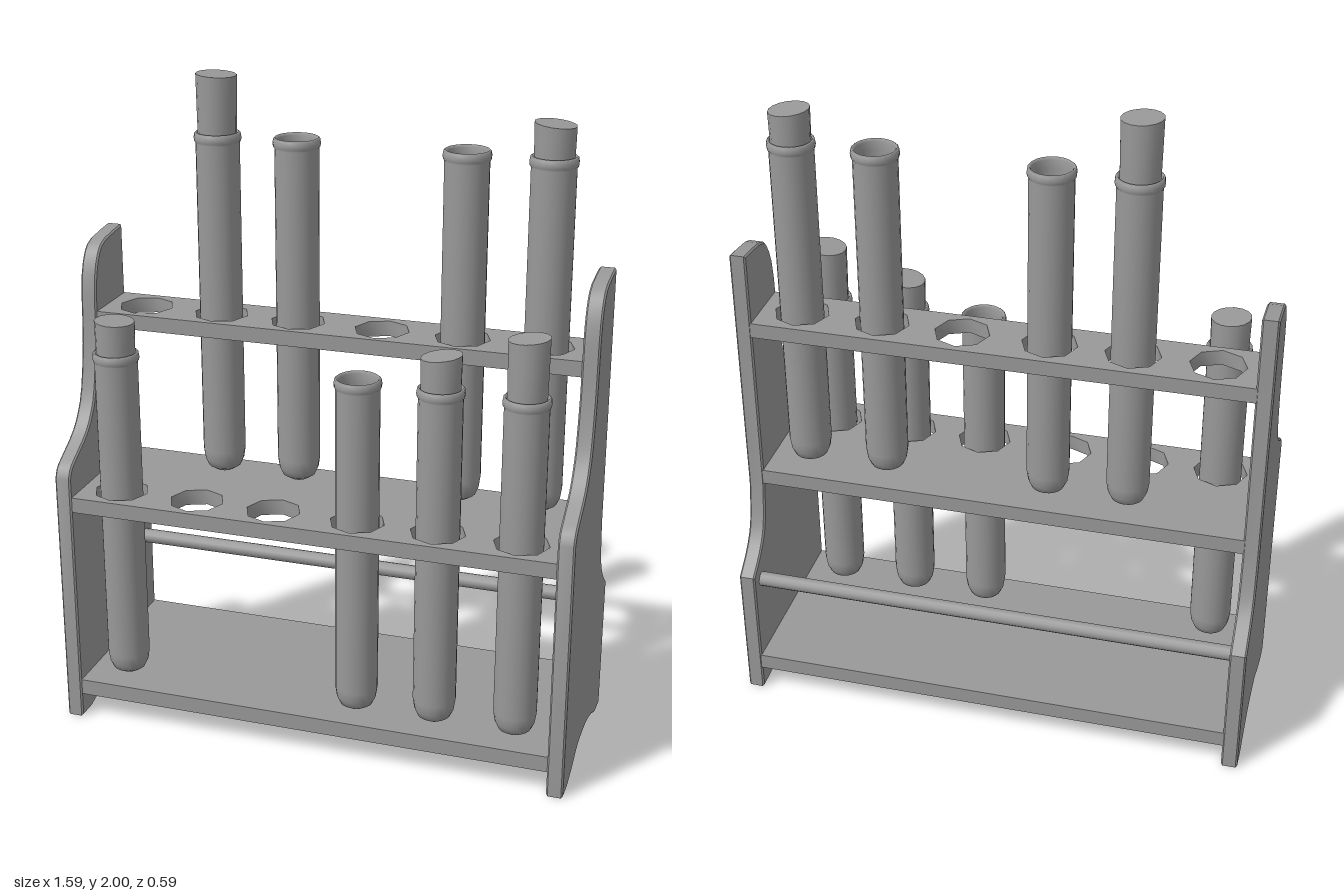
import * as THREE from 'three';
import { toCreasedNormals } from 'three/addons/utils/BufferGeometryUtils.js';

const V = (x, y) => new THREE.Vector2(x, y);
const material = new THREE.MeshStandardMaterial({ color: 0x999999 });
const thinMaterial = new THREE.MeshStandardMaterial({ color: 0x999999, side: THREE.DoubleSide });

const COLUMNS = [-0.624, -0.378, -0.133, 0.129, 0.374, 0.622];
const BACK_Z = -0.05, FRONT_Z = 0.189, HOLE_R = 0.083;

function addMesh(parent, name, geometry, mat = material) {
  const mesh = new THREE.Mesh(geometry, mat);
  mesh.name = name;
  parent.add(mesh);
  return mesh;
}

// Side panel: outline drawn in (z, y), extruded across x and centred
function panelGeometry() {
  const b = 0.005, thickness = 0.05;
  const s = new THREE.Shape();
  s.moveTo(0.29, 0.005);
  s.lineTo(0.29, 0.81);
  s.splineThru([V(0.275, 0.84), V(0.24, 0.863), V(0.164, 0.908), V(0.118, 0.957), V(0.083, 1.03),
    V(0.055, 1.18), V(0.045, 1.35), V(0.017, 1.435), V(-0.03, 1.471), V(-0.151, 1.486)]);
  s.lineTo(-0.151, 0.7);
  s.splineThru([V(-0.172, 0.57), V(-0.216, 0.495), V(-0.29, 0.432)]);
  s.lineTo(-0.29, 0.005);
  s.lineTo(-0.22, 0.008);
  s.splineThru([V(-0.15, 0.038), V(-0.07, 0.058), V(0.005, 0.062), V(0.08, 0.056), V(0.16, 0.025), V(0.23, 0.005)]);
  s.closePath();
  const g = new THREE.ExtrudeGeometry(s, {
    depth: thickness - 2 * b, bevelEnabled: true, bevelSize: b, bevelThickness: b, bevelSegments: 1, curveSegments: 2,
  });
  g.translate(0, 0, b - thickness / 2);
  g.rotateY(-Math.PI / 2);
  return toCreasedNormals(g, 0.5);
}

// Shelf spanning z0..z1, with a row of octagonal holes at holeZ if given
function shelfGeometry(z0, z1, thickness, holeZ) {
  const w = 0.75;
  const s = new THREE.Shape([V(-w, -z1), V(w, -z1), V(w, -z0), V(-w, -z0)]);
  if (holeZ !== undefined) {
    for (const x of COLUMNS) {
      const ring = [];
      for (let i = 0; i < 8; i++) {
        const a = -i * Math.PI / 4;
        ring.push(V(x + HOLE_R * Math.cos(a), -holeZ + HOLE_R * Math.sin(a)));
      }
      s.holes.push(new THREE.Path(ring));
    }
  }
  const g = new THREE.ExtrudeGeometry(s, { depth: thickness, bevelEnabled: false });
  return toCreasedNormals(g.rotateX(-Math.PI / 2), 0.9);
}

// Hollow round-bottomed tube with a rolled lip
function tubeGeometry() {
  const profile = [
    [0, 0], [0.028, 0.006], [0.05, 0.02], [0.06, 0.042], [0.065, 0.075], [0.065, 1.037],
    [0.069, 1.043], [0.07, 1.053], [0.068, 1.065], [0.063, 1.069], [0.058, 1.061],
    [0.057, 1.035], [0.057, 0.075], [0.048, 0.04], [0.026, 0.022], [0, 0.016],
  ].map(([r, y]) => V(r, y));
  return new THREE.LatheGeometry(profile, 20);
}

// Stopper: slightly tapered plug whose top face is cut at a slant
function stopperGeometry(height, slant) {
  const bottom = -0.12;
  const g = new THREE.CylinderGeometry(0.06, 0.056, height - bottom, 16);
  g.translate(0, (height + bottom) / 2, 0);
  const p = g.attributes.position;
  for (let i = 0; i < p.count; i++) {
    if (p.getY(i) > 0) p.setY(i, p.getY(i) + slant * p.getX(i) - Math.abs(slant) * 0.06);
  }
  return toCreasedNormals(g, 0.6);
}

export function createModel() {
  const model = new THREE.Group();
  model.name = 'testTubeRack';

  // Frame
  const panel = panelGeometry();
  for (const side of [1, -1]) {
    addMesh(model, side > 0 ? 'leftPanel' : 'rightPanel', panel).position.x = side * 0.77;
  }
  addMesh(model, 'bottomShelf', shelfGeometry(-0.293, 0.29, 0.05)).position.y = 0.078;
  addMesh(model, 'middleShelf', shelfGeometry(-0.155, 0.29, 0.048, FRONT_Z)).position.y = 0.704;
  addMesh(model, 'upperShelf', shelfGeometry(-0.155, 0.05, 0.047, BACK_Z)).position.y = 1.224;

  // Rear cross bar
  const bar = addMesh(model, 'rearBar', new THREE.CylinderGeometry(0.023, 0.023, 1.5, 12));
  bar.rotation.z = Math.PI / 2;
  bar.position.set(0, 0.396, -0.238);

  // Tubes: [column, stopper height above the lip (0 = open), slant of the stopper top]
  const rows = [
    { name: 'back', y: 0.76, z: BACK_Z, tubes: [[1, 0.171, -0.05], [2, 0, 0], [4, 0, 0], [5, 0.095, -0.1]] },
    { name: 'front', y: 0.133, z: FRONT_Z, tubes: [[0, 0.098, -0.05], [3, 0, 0], [4, 0.1, 0.12], [5, 0.175, 0.09]] },
  ];
  const tube = tubeGeometry();
  for (const row of rows) {
    for (const [column, height, slant] of row.tubes) {
      const group = new THREE.Group();
      group.name = row.name + 'Tube' + (column + 1);
      group.position.set(COLUMNS[column], row.y, row.z);
      addMesh(group, 'glassTube', tube, thinMaterial);
      if (height) addMesh(group, 'stopper', stopperGeometry(height, slant)).position.y = 1.069;
      model.add(group);
    }
  }
  return model;
}
